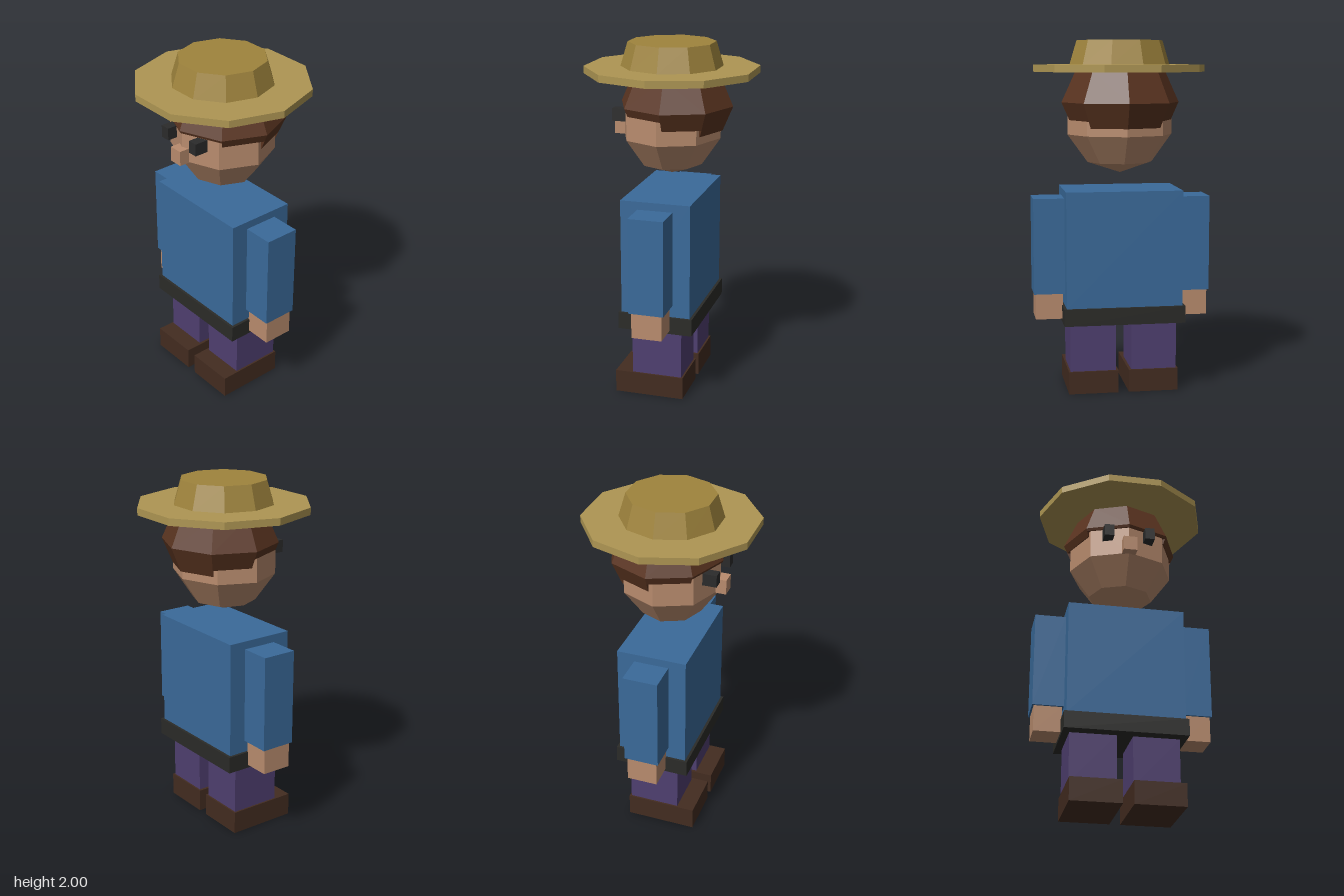
import * as THREE from 'three';
import { ConvexGeometry } from 'three/addons/geometries/ConvexGeometry.js';

const mat = (color) => new THREE.MeshStandardMaterial({ color, flatShading: true });

export function createModel() {
  const model = new THREE.Group();
  model.name = 'farmer';
  const skin = mat(0xb98c6e), shirt = mat(0x3a6a9a), trousers = mat(0x4f3f70);
  const beltMat = mat(0x2b2b28), shoeMat = mat(0x432c20), hairMat = mat(0x5a3420);
  const brimMat = mat(0xae9653), crownMat = mat(0x9f843d), eyeMat = mat(0x2b2b2b);

  const add = (name, geometry, material, parent = model) => {
    const mesh = new THREE.Mesh(geometry, material);
    mesh.name = name;
    parent.add(mesh);
    return mesh;
  };
  // Box given by its extents on each axis
  const box = (name, material, [x0, x1], [y0, y1], [z0, z1]) =>
    add(name, new THREE.BoxGeometry(x1 - x0, y1 - y0, z1 - z0)
      .translate((x0 + x1) / 2, (y0 + y1) / 2, (z0 + z1) / 2), material);
  // The same box on both sides of the body
  const pair = (name, material, [x0, x1], y, z) => {
    box('left' + name, material, [x0, x1], y, z);
    box('right' + name, material, [-x1, -x0], y, z);
  };

  // Body
  box('torso', shirt, [-0.33, 0.33], [0.505, 1.165], [-0.2, 0.2]);
  box('belt', beltMat, [-0.345, 0.345], [0.41, 0.507], [-0.215, 0.215]);
  pair('Arm', shirt, [0.33, 0.505], [0.575, 1.12], [-0.1, 0.1]);
  pair('Hand', skin, [0.34, 0.495], [0.428, 0.575], [-0.087, 0.087]);
  pair('Leg', trousers, [0.045, 0.305], [0.13, 0.41], [-0.145, 0.145]);
  pair('Shoe', shoeMat, [0.03, 0.315], [0, 0.13], [-0.155, 0.245]);

  // Head and face
  add('head', new THREE.SphereGeometry(0.315, 8, 5).scale(1, 1, 0.94).translate(0, 1.57, 0), skin);
  pair('Eye', eyeMat, [0.09, 0.146], [1.565, 1.635], [0.225, 0.305]);
  box('nose', skin, [-0.04, 0.04], [1.47, 1.555], [0.2, 0.327]);

  // Hair: eight wedges whose hems step down from the fringe to the nape
  const hair = new THREE.Group();
  hair.name = 'hair';
  model.add(hair);
  const hems = [1.64, 1.61, 1.555, 1.517];
  const hairPoint = (angle, r, y) =>
    new THREE.Vector3(Math.sin(angle) * r, y, Math.cos(angle) * r * 0.965 - 0.027);
  for (let i = 0; i < 8; i++) {
    const hem = hems[i < 4 ? i : 7 - i];
    const hemRadius = 0.335 - (1.655 - hem) * 0.44;
    const points = [hairPoint(0, 0, hem), hairPoint(0, 0, 1.88)];
    for (const a of [i, i + 1].map((k) => (k * Math.PI) / 4)) {
      points.push(hairPoint(a, hemRadius, hem), hairPoint(a, 0.335, 1.655), hairPoint(a, 0.255, 1.83));
    }
    add('hairLock', new ConvexGeometry(points), hairMat, hair);
  }

  // Ten-sided straw hat with a corner pointing to each side
  const hatPart = (name, rTop, rBottom, y0, y1, material) =>
    add(name, new THREE.CylinderGeometry(rTop, rBottom, y1 - y0, 10)
      .rotateY(Math.PI / 2).translate(0, (y0 + y1) / 2, 0), material);
  hatPart('hatBrim', 0.49, 0.49, 1.825, 1.865, brimMat);
  hatPart('hatCrown', 0.245, 0.287, 1.86, 2, crownMat);

  return model;
}
